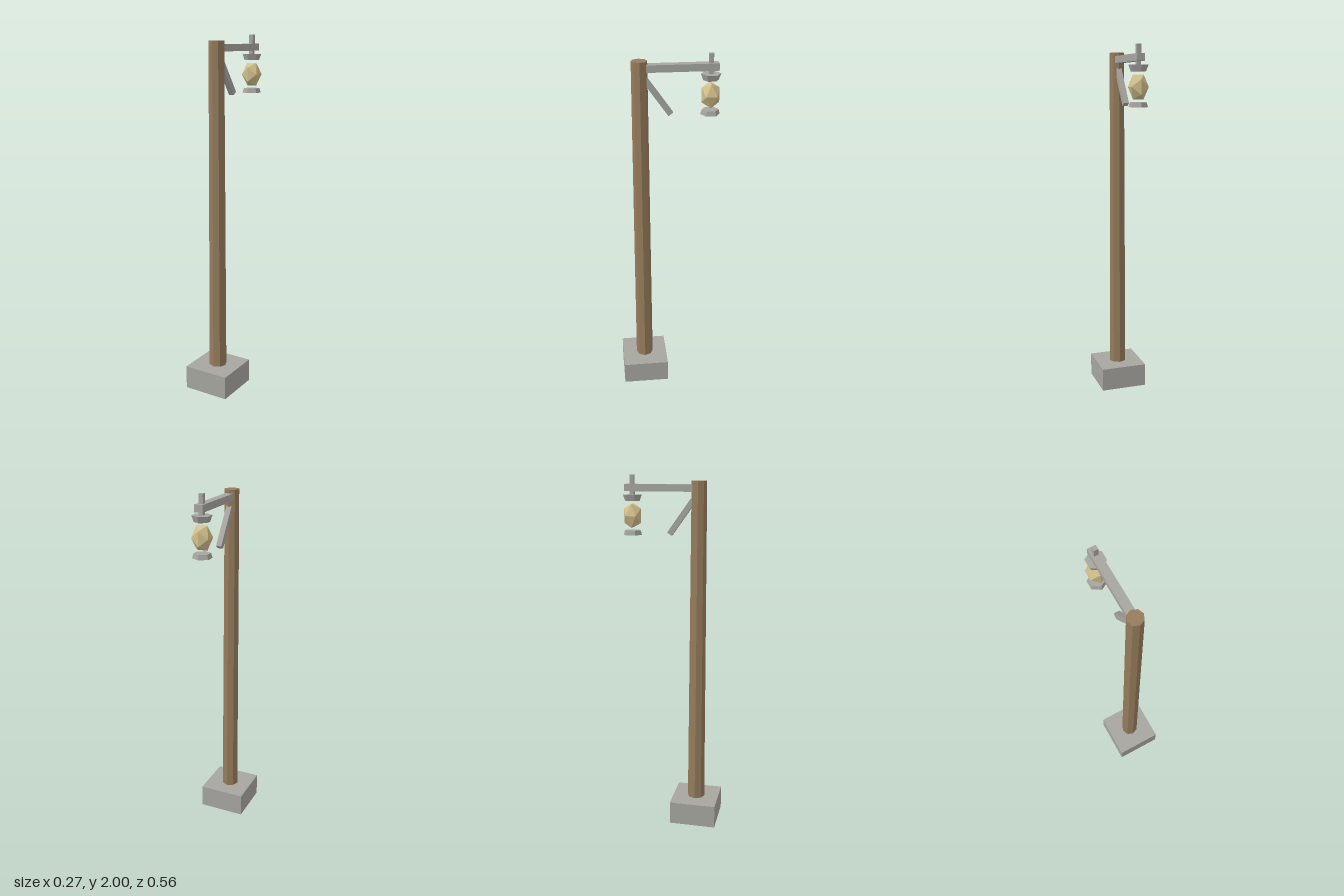
import * as THREE from 'three';

export function createModel() {
  const model = new THREE.Group();
  model.name = 'lampPost';

  const material = (name, color) => {
    const m = new THREE.MeshStandardMaterial({ color, flatShading: true });
    m.name = name;
    return m;
  };
  const stone = material('grey', 0xa6a5a0);
  const wood = material('wood', 0x967c5c);
  const glow = material('lampGlow', 0xd2bf8c);

  const add = (name, geometry, mat, y, z, parent = model) => {
    const mesh = new THREE.Mesh(geometry, mat);
    mesh.name = name;
    mesh.position.set(0, y, z);
    parent.add(mesh);
    return mesh;
  };

  const postZ = 0.145;
  const lampZ = -0.225;

  // Foundation block and tapered octagonal post
  add('base', new THREE.BoxGeometry(0.266, 0.133, 0.266), stone, 0.0665, postZ);
  add('post', new THREE.CylinderGeometry(0.042, 0.05, 1.837, 8), wood, 1.0515, postZ);

  // Horizontal arm and the slanted brace below it
  add('arm', new THREE.BoxGeometry(0.045, 0.038, 0.38), stone, 1.932, -0.075);
  const brace = add('brace', new THREE.BoxGeometry(0.03, 0.24, 0.03), stone, 1.785, 0.054);
  brace.rotation.x = 0.62;

  // Hanging lantern
  const lantern = new THREE.Group();
  lantern.name = 'lantern';
  lantern.position.z = lampZ;
  model.add(lantern);
  add('hanger', new THREE.BoxGeometry(0.023, 0.125, 0.023), stone, 1.9375, 0, lantern);
  add('lanternTop', new THREE.CylinderGeometry(0.053, 0.041, 0.033, 6), stone, 1.878, 0, lantern);
  const lamp = add('lamp', new THREE.IcosahedronGeometry(0.056, 0), glow, 1.782, 0, lantern);
  lamp.scale.y = 1.33;
  add('lanternBottom', new THREE.CylinderGeometry(0.045, 0.052, 0.025, 6), stone, 1.691, 0, lantern);

  return model;
}
